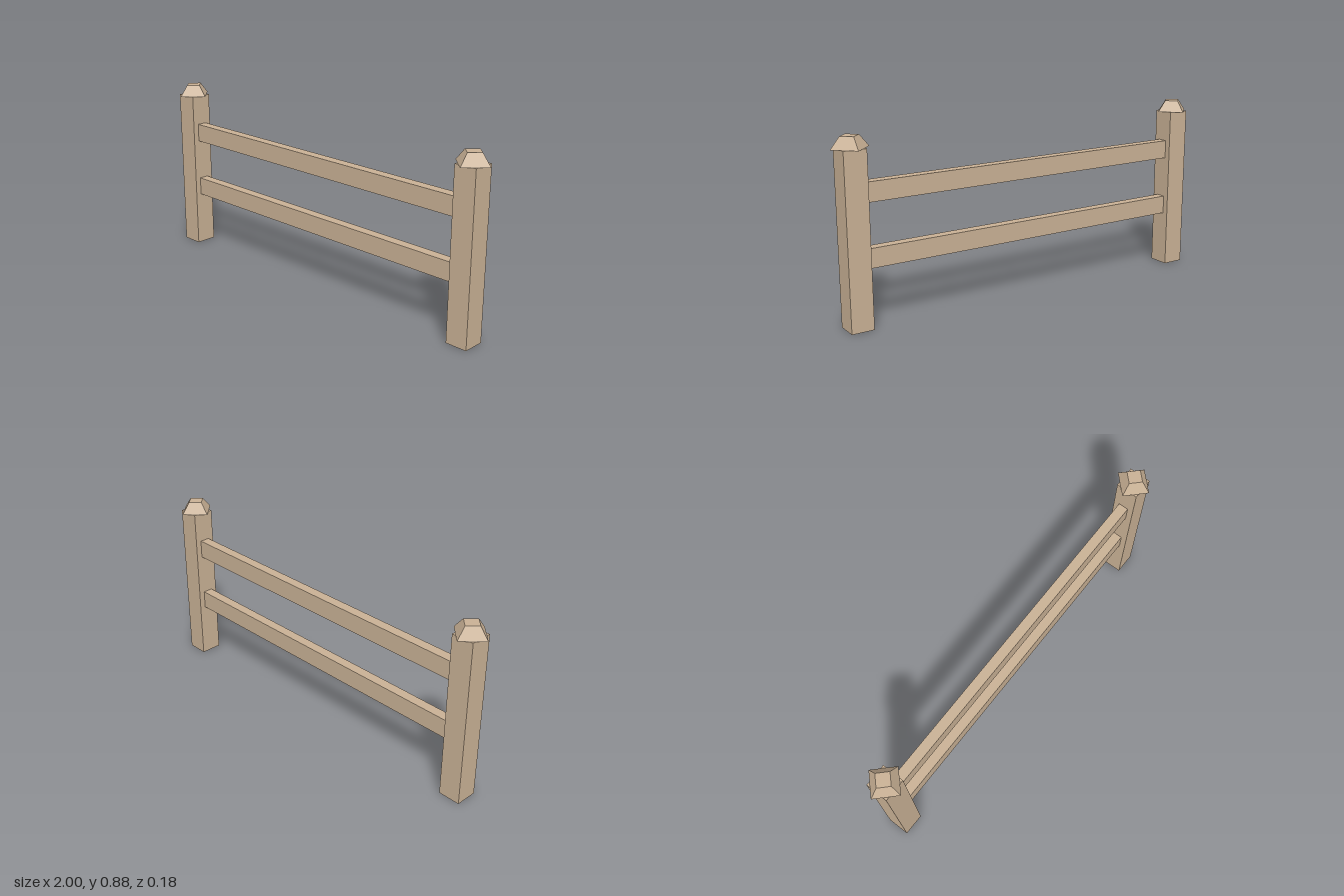
import * as THREE from 'three';

export function createModel() {
  const model = new THREE.Group();
  model.name = 'fence';
  const wood = new THREE.MeshStandardMaterial({ color: 0xc8b094, flatShading: true });

  const add = (name, geometry, x, y) => {
    const mesh = new THREE.Mesh(geometry, wood);
    mesh.name = name;
    mesh.position.set(x, y, 0);
    model.add(mesh);
  };

  const postX = 0.91, postWidth = 0.109, postHeight = 0.82;
  const capHeight = 0.055;

  // Square posts with four-sided tapered caps, turned corner-on to the post
  for (const [side, s] of [['left', 1], ['right', -1]]) {
    add(`${side}Post`, new THREE.BoxGeometry(postWidth, postHeight, postWidth), s * postX, postHeight / 2);
    add(`${side}PostCap`, new THREE.CylinderGeometry(0.045, 0.09, capHeight, 4),
      s * postX, postHeight + capHeight / 2);
  }

  // Two horizontal rails between the posts
  const railLength = 2 * postX - postWidth;
  for (const [name, y] of [['lowerRail', 0.322], ['upperRail', 0.622]]) {
    add(name, new THREE.BoxGeometry(railLength, 0.092, 0.05), 0, y);
  }

  return model;
}
